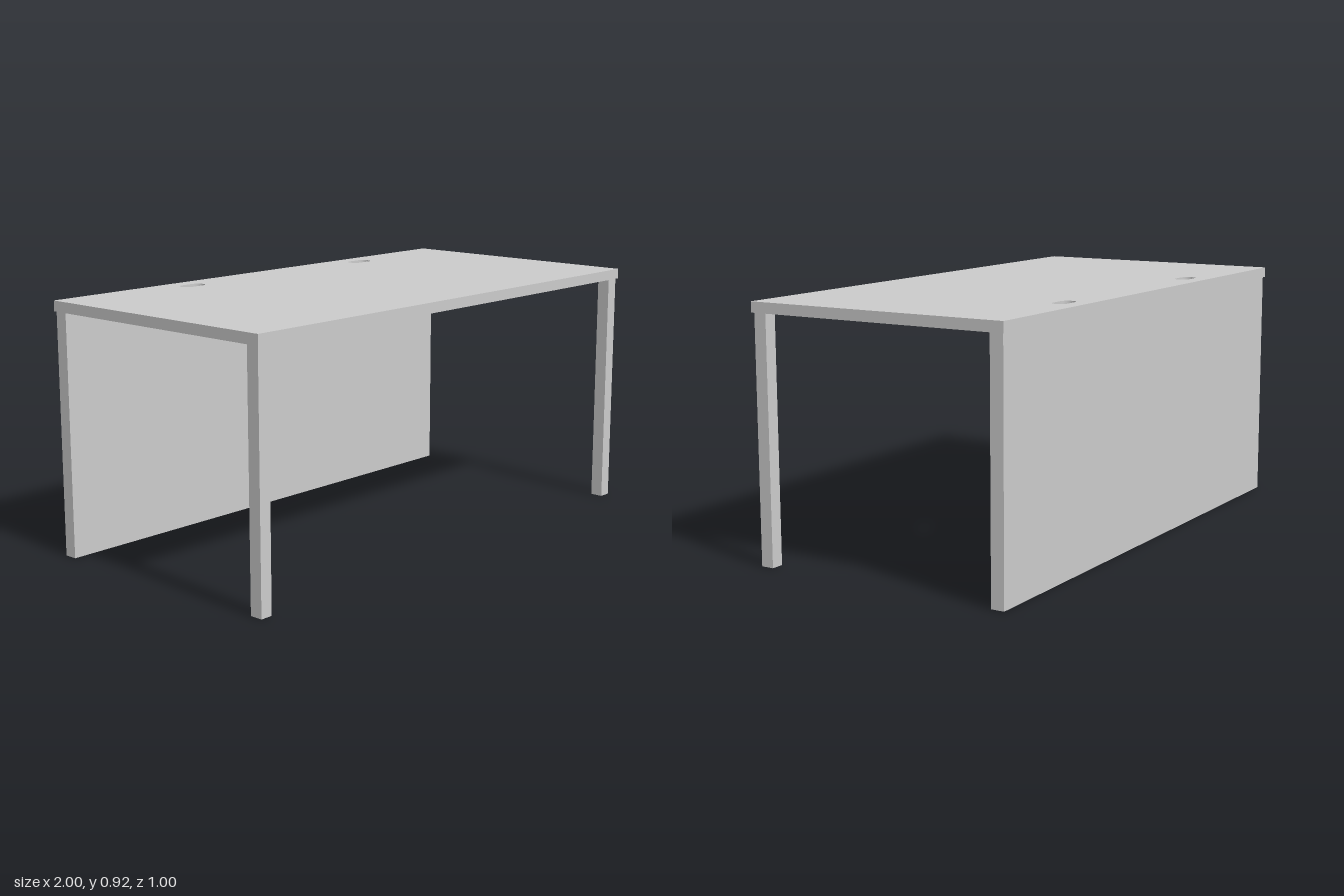
import * as THREE from 'three';

const material = new THREE.MeshStandardMaterial({ color: 0xcccccc });

const TOP_Y = 0.92;
const UNDER_Y = 0.882;

// Box given by its extents in x and z, standing from the floor to the worktop
function upright(name, x0, x1, z0, z1) {
  const mesh = new THREE.Mesh(new THREE.BoxGeometry(x1 - x0, UNDER_Y, z1 - z0), material);
  mesh.position.set((x0 + x1) / 2, UNDER_Y / 2, (z0 + z1) / 2);
  mesh.name = name;
  return mesh;
}

// Rounded slot outline for a cable opening
function slot(cx, cy, length, width) {
  const r = width / 2;
  const h = length / 2 - r;
  const path = new THREE.Path();
  path.absarc(cx + h, cy, r, -Math.PI / 2, Math.PI / 2, false);
  path.absarc(cx - h, cy, r, Math.PI / 2, Math.PI * 1.5, false);
  path.closePath();
  return path;
}

export function createModel() {
  const desk = new THREE.Group();
  desk.name = 'desk';

  // Worktop: drawn flat, with two cable slots near the back edge
  const outline = new THREE.Shape();
  outline.moveTo(-1, -0.5);
  outline.lineTo(1, -0.5);
  outline.lineTo(1, 0.5);
  outline.lineTo(-1, 0.5);
  outline.closePath();
  for (const x of [-0.434, 0.485]) outline.holes.push(slot(x, 0.413, 0.106, 0.056));

  const topGeometry = new THREE.ExtrudeGeometry(outline, {
    depth: TOP_Y - UNDER_Y,
    bevelEnabled: false,
    curveSegments: 12,
  });
  topGeometry.rotateX(-Math.PI / 2);
  const worktop = new THREE.Mesh(topGeometry, material);
  worktop.position.y = UNDER_Y;
  worktop.name = 'worktop';
  desk.add(worktop);

  // Front legs and full-height back panel
  desk.add(
    upright('rightFrontLeg', -0.996, -0.95, 0.447, 0.495),
    upright('leftFrontLeg', 0.942, 0.99, 0.447, 0.495),
    upright('backPanel', -0.996, 0.99, -0.492, -0.443),
  );

  return desk;
}
